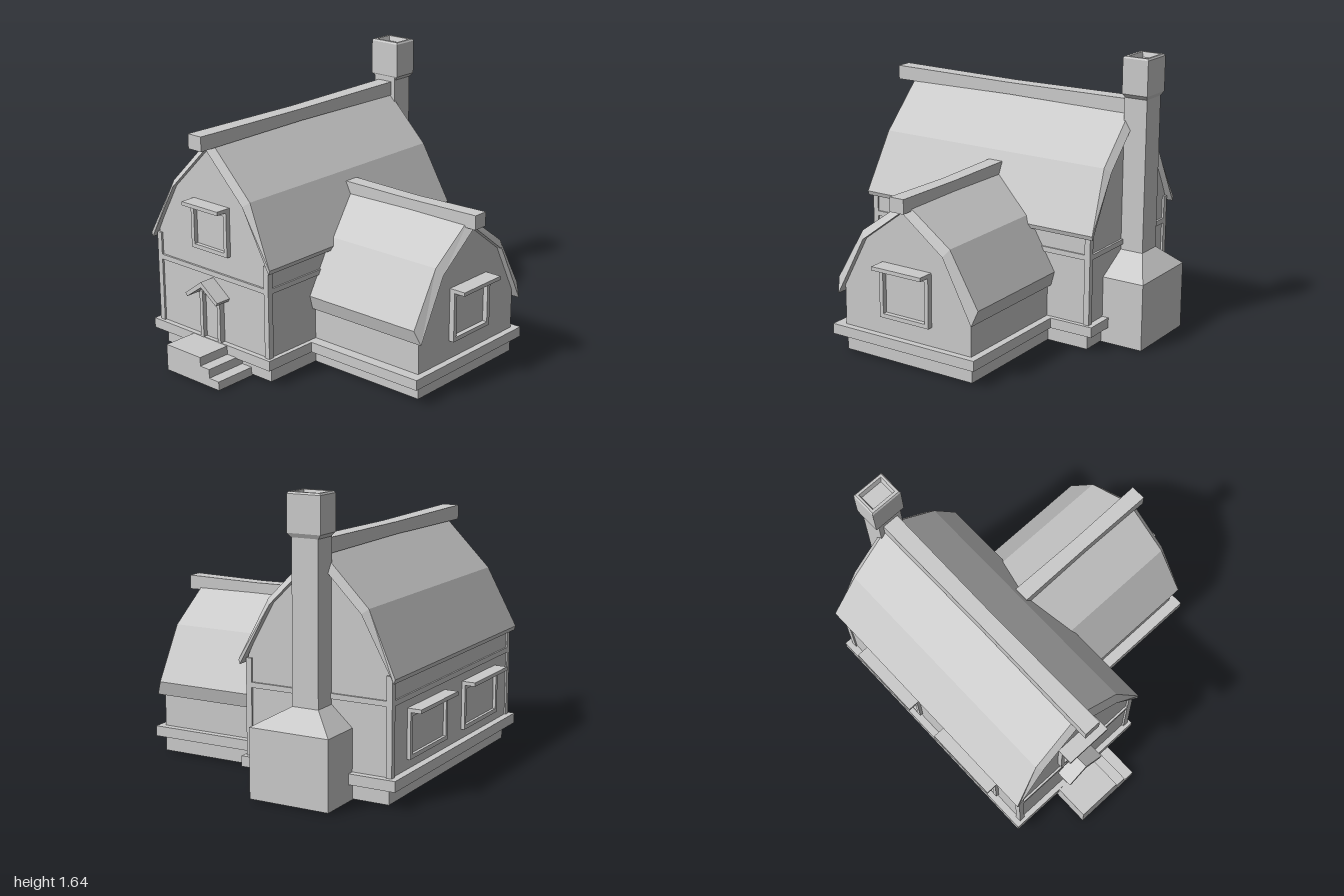
import * as THREE from 'three';

const material = new THREE.MeshStandardMaterial({ color: 0xcccccc, flatShading: true });

function add(parent, name, geometry) {
  const mesh = new THREE.Mesh(geometry, material);
  mesh.name = name;
  parent.add(mesh);
  return mesh;
}

// Box given by its limits on each axis
function box(parent, name, x0, x1, y0, y1, z0, z1, segZ = 1) {
  const g = new THREE.BoxGeometry(x1 - x0, y1 - y0, z1 - z0, 1, 1, segZ);
  g.translate((x0 + x1) / 2, (y0 + y1) / 2, (z0 + z1) / 2);
  return add(parent, name, g);
}

const shapeOf = (pts) => new THREE.Shape(pts.map(([x, y]) => new THREE.Vector2(x, y)));

function prism(parent, name, shape, z0, z1) {
  const g = new THREE.ExtrudeGeometry(shape, { depth: z1 - z0, bevelEnabled: false });
  g.translate(0, 0, z0);
  return add(parent, name, g);
}

// Mirror a half profile, listed from the apex outwards, into a full one
const mirrored = (half) => [...half.slice(1).reverse().map(([x, y]) => [-x, y]), ...half];

// Roof shell between an outer and an inner half profile;
// the first few outer points are drawn in at both ends to chamfer the rake
function roof(parent, name, outer, inner, z0, z1, chamfered = 0) {
  const shape = shapeOf([...mirrored(outer), ...mirrored(inner).reverse()]);
  const mesh = prism(parent, name, shape, z0, z1);
  const p = mesh.geometry.attributes.position;
  const isCut = (x, y) => outer.slice(0, chamfered)
    .some(([a, b]) => Math.abs(Math.abs(x) - a) < 1e-4 && Math.abs(y - b) < 1e-4);
  for (let i = 0; i < p.count; i++) {
    if (isCut(p.getX(i), p.getY(i))) p.setZ(i, p.getZ(i) + (p.getZ(i) > (z0 + z1) / 2 ? -0.033 : 0.033));
  }
  mesh.geometry.computeVertexNormals();
  return mesh;
}

// Ridge beam along z, slightly slimmer in the middle
function ridgeBeam(parent, w, y0, y1, z0, z1) {
  const mesh = box(parent, 'ridgeBeam', -w, w, y0, y1, z0, z1, 4);
  const p = mesh.geometry.attributes.position;
  const mid = (z0 + z1) / 2, half = (z1 - z0) / 2, cy = (y0 + y1) / 2;
  for (let i = 0; i < p.count; i++) {
    const t = 1 - Math.abs(p.getZ(i) - mid) / half;
    p.setX(i, p.getX(i) * (1 - 0.1 * t));
    p.setY(i, cy + (p.getY(i) - cy) * (1 - 0.17 * t));
  }
  mesh.geometry.computeVertexNormals();
}

// Stack of rectangles [x0, x1, y, z0, z1] joined by side faces, with end caps
function loft(parent, name, rings) {
  const pos = [], idx = [];
  rings.forEach(([x0, x1, y, z0, z1]) => pos.push(x0, y, z1, x1, y, z1, x1, y, z0, x0, y, z0));
  for (let r = 0; r < rings.length - 1; r++) {
    for (let i = 0; i < 4; i++) {
      const a = r * 4 + i, b = r * 4 + (i + 1) % 4;
      idx.push(a, b, b + 4, a, b + 4, a + 4);
    }
  }
  const n = rings.length * 4 - 4;
  idx.push(0, 2, 1, 0, 3, 2, n, n + 1, n + 2, n, n + 2, n + 3);
  const g = new THREE.BufferGeometry();
  g.setAttribute('position', new THREE.Float32BufferAttribute(pos, 3));
  g.setIndex(idx);
  g.computeVertexNormals();
  return add(parent, name, g);
}

// Window facing +z, standing on y = 0, with a flat ledge above
function makeWindow(name, w, h, frameDepth, ledgeDepth, rim = 0.024) {
  const group = new THREE.Group();
  group.name = name;
  const a = w / 2, b = a - rim;
  const frame = shapeOf([[-a, 0], [a, 0], [a, h], [-a, h]]);
  frame.holes.push(new THREE.Path([[-b, rim], [-b, h - rim], [b, h - rim], [b, rim]]
    .map(([x, y]) => new THREE.Vector2(x, y))));
  prism(group, 'windowFrame', frame, -0.03, frameDepth);
  box(group, 'windowPane', -b, b, rim, h - rim, -0.03, 0.003);
  box(group, 'windowLedge', -a, a, h, h + 0.022, -0.03, ledgeDepth);
  return group;
}

export function createModel() {
  const model = new THREE.Group();
  model.name = 'house';
  const CX = -0.387;

  // Foundation walls, open below, with the wing's walls running on under the main floor
  const T = 0.02, Y0 = 0.01, Y1 = 0.11;
  for (const x of [-0.807, 0.042 - T]) box(model, 'mainFoundation', x, x + T, Y0, Y1, -0.74, 0.742);
  for (const z of [-0.74, 0.742 - T]) box(model, 'mainFoundation', -0.807, 0.042, Y0, Y1, z, z + T);
  for (const z of [-0.48, 0.375 - T]) box(model, 'wingFoundation', -0.58, 0.797, Y0, Y1, z, z + T);
  box(model, 'wingFoundation', 0.797 - T, 0.797, Y0, Y1, -0.48, 0.375);

  // Floors with skirting edges
  box(model, 'mainSkirting', -0.865, 0.075, 0.1, 0.16, -0.785, 0.79);
  box(model, 'wingSkirting', 0, 0.84, 0.1, 0.16, -0.518, 0.445);

  // Main house: gabled walls and gambrel roof
  const main = new THREE.Group();
  main.name = 'mainHouse';
  main.position.x = CX;
  model.add(main);
  const walls = mirrored([[0, 1.31], [0.285, 1.03], [0.435, 0.72], [0.435, 0.14]]);
  prism(main, 'mainWalls', shapeOf(walls), -0.745, 0.758);
  roof(main, 'mainRoof',
    [[0, 1.345], [0.303, 1.042], [0.474, 0.697]],
    [[0, 1.292], [0.275, 1.018], [0.466, 0.672]], -0.785, 0.787, 2);
  ridgeBeam(main, 0.05, 1.303, 1.388, -0.75, 0.865);

  // Timber posts and rails around the main walls
  for (const s of [-1, 1]) {
    const [x0, x1] = [s * 0.444, s * 0.41].sort((a, b) => a - b);
    box(main, 'cornerPost', x0, x1, 0.15, 0.705, 0.735, 0.77);
    box(main, 'cornerPost', x0, x1, 0.15, 0.705, -0.757, -0.722);
    box(main, 'sideRail', x0, x1, 0.542, 0.572, -0.74, 0.75);
    box(main, 'topRail', x0, x1, 0.675, 0.705, -0.74, 0.75);
  }
  box(main, 'frontRail', -0.43, 0.43, 0.542, 0.572, 0.74, 0.77);
  box(main, 'backRail', -0.43, 0.43, 0.542, 0.572, -0.757, -0.73);

  // Side wing, built along z and turned to point along +x
  const wing = new THREE.Group();
  wing.name = 'sideWing';
  wing.position.z = -0.048;
  wing.rotation.y = Math.PI / 2;
  model.add(wing);
  const wingWalls = mirrored([[0, 0.92], [0.268, 0.705], [0.428, 0.42], [0.428, 0.14]]);
  prism(wing, 'wingWalls', shapeOf(wingWalls), -0.02, 0.8);
  roof(wing, 'wingRoof',
    [[0, 0.95], [0.294, 0.738], [0.474, 0.43]],
    [[0, 0.9], [0.268, 0.698], [0.452, 0.348]], -0.09, 0.835, 3);
  ridgeBeam(wing, 0.046, 0.905, 0.988, -0.055, 0.875);

  // Windows
  const frontWindow = makeWindow('frontWindow', 0.282, 0.265, 0.028, 0.095);
  frontWindow.position.set(-0.382, 0.69, 0.758);
  const wingWindow = makeWindow('wingWindow', 0.33, 0.29, 0.032, 0.1);
  wingWindow.position.set(0.8, 0.27, -0.052);
  wingWindow.rotation.y = Math.PI / 2;
  model.add(frontWindow, wingWindow);
  for (const z of [-0.335, 0.345]) {
    const w = makeWindow('leftWindow', 0.46, 0.258, 0.02, 0.081);
    w.position.set(CX - 0.435, 0.215, z);
    w.rotation.y = -Math.PI / 2;
    model.add(w);
  }

  // Front door with its frame and small gabled canopy
  for (const s of [-1, 1]) {
    const x = CX + s * 0.069;
    box(model, 'doorPost', x - 0.012, x + 0.012, 0.15, 0.44, 0.75, 0.792);
  }
  box(model, 'door', CX - 0.06, CX + 0.06, 0.15, 0.45, 0.75, 0.765);
  const canopy = roof(model, 'doorCanopy',
    [[0, 0.53], [0.128, 0.435]], [[0, 0.497], [0.116, 0.415]], 0.75, 0.856);
  const gable = prism(model, 'canopyGable', shapeOf([[-0.081, 0.425], [0.081, 0.425], [0, 0.505]]), 0.75, 0.785);
  canopy.position.x = gable.position.x = CX;

  // Landing and steps
  box(model, 'landing', -0.53, -0.257, 0, 0.157, 0.735, 1);
  box(model, 'upperStep', -0.27, -0.187, 0, 0.105, 0.735, 1);
  box(model, 'lowerStep', -0.19, -0.113, 0, 0.052, 0.735, 1);

  // Chimney: broad base, sloped shoulder and shaft
  loft(model, 'chimneyStack', [
    [-0.592, -0.115, 0.006, -1, -0.725],
    [-0.592, -0.115, 0.398, -1, -0.725],
    [-0.467, -0.31, 0.51, -0.885, -0.742],
    [-0.467, -0.31, 1.42, -0.885, -0.742],
  ]);
  // Chimney cap with a shallow hollow top
  loft(model, 'chimneyCap', [
    [-0.468, -0.307, 1.402, -0.885, -0.752],
    [-0.487, -0.288, 1.425, -0.897, -0.738],
    [-0.487, -0.288, 1.627, -0.897, -0.738],
    [-0.48, -0.295, 1.637, -0.89, -0.745],
    [-0.466, -0.31, 1.637, -0.876, -0.762],
    [-0.456, -0.32, 1.608, -0.866, -0.772],
  ]);
  return model;
}
